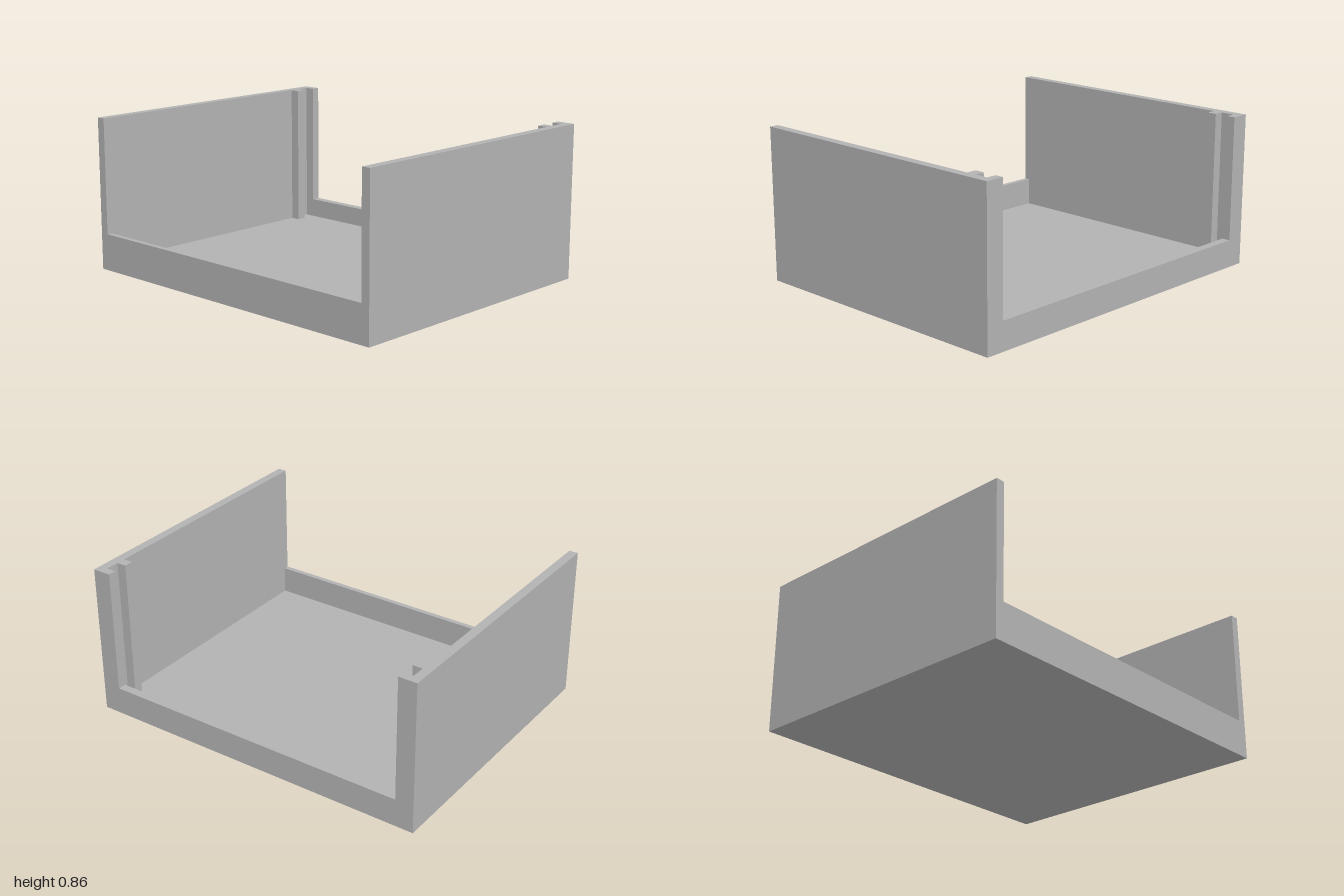
import * as THREE from 'three';

const HALF_DEPTH = 0.81, HEIGHT = 0.855, FLOOR = 0.05;

export function createModel() {
  const model = new THREE.Group();
  model.name = 'openTray';
  const grey = new THREE.MeshStandardMaterial({ color: 0xb2b2b2 });
  grey.name = 'plain grey';

  function add(name, geometry) {
    const mesh = new THREE.Mesh(geometry, grey);
    mesh.name = name;
    model.add(mesh);
  }

  // Box given by its width and its y and z ranges, centred on x
  function bar(name, width, y0, y1, z0, z1) {
    const geometry = new THREE.BoxGeometry(width, y1 - y0, z1 - z0);
    geometry.translate(0, (y0 + y1) / 2, (z0 + z1) / 2);
    add(name, geometry);
  }

  // Floor slab with a tall front lip and a lower, thicker back lip
  bar('floor', 2, 0, FLOOR, -HALF_DEPTH, HALF_DEPTH);
  bar('frontLip', 1.9, FLOOR, 0.207, 0.78, HALF_DEPTH);
  bar('backLip', 1.8, FLOOR, 0.157, -HALF_DEPTH, -0.762);

  // Side wall footprint (x, z): guide rail and back post form a panel slot
  const footprint = [
    [1, HALF_DEPTH], [0.95, HALF_DEPTH],
    [0.95, -0.632], [0.895, -0.632], [0.895, -0.685], [0.95, -0.685],
    [0.95, -0.762], [0.895, -0.762], [0.895, -HALF_DEPTH], [1, -HALF_DEPTH],
  ];
  for (const [name, side] of [['leftWall', 1], ['rightWall', -1]]) {
    const shape = new THREE.Shape(footprint.map(([x, z]) => new THREE.Vector2(side * x, -z)));
    const geometry = new THREE.ExtrudeGeometry(shape, { depth: HEIGHT - FLOOR, bevelEnabled: false });
    geometry.rotateX(-Math.PI / 2);
    geometry.translate(0, FLOOR, 0);
    add(name, geometry);
  }

  return model;
}
